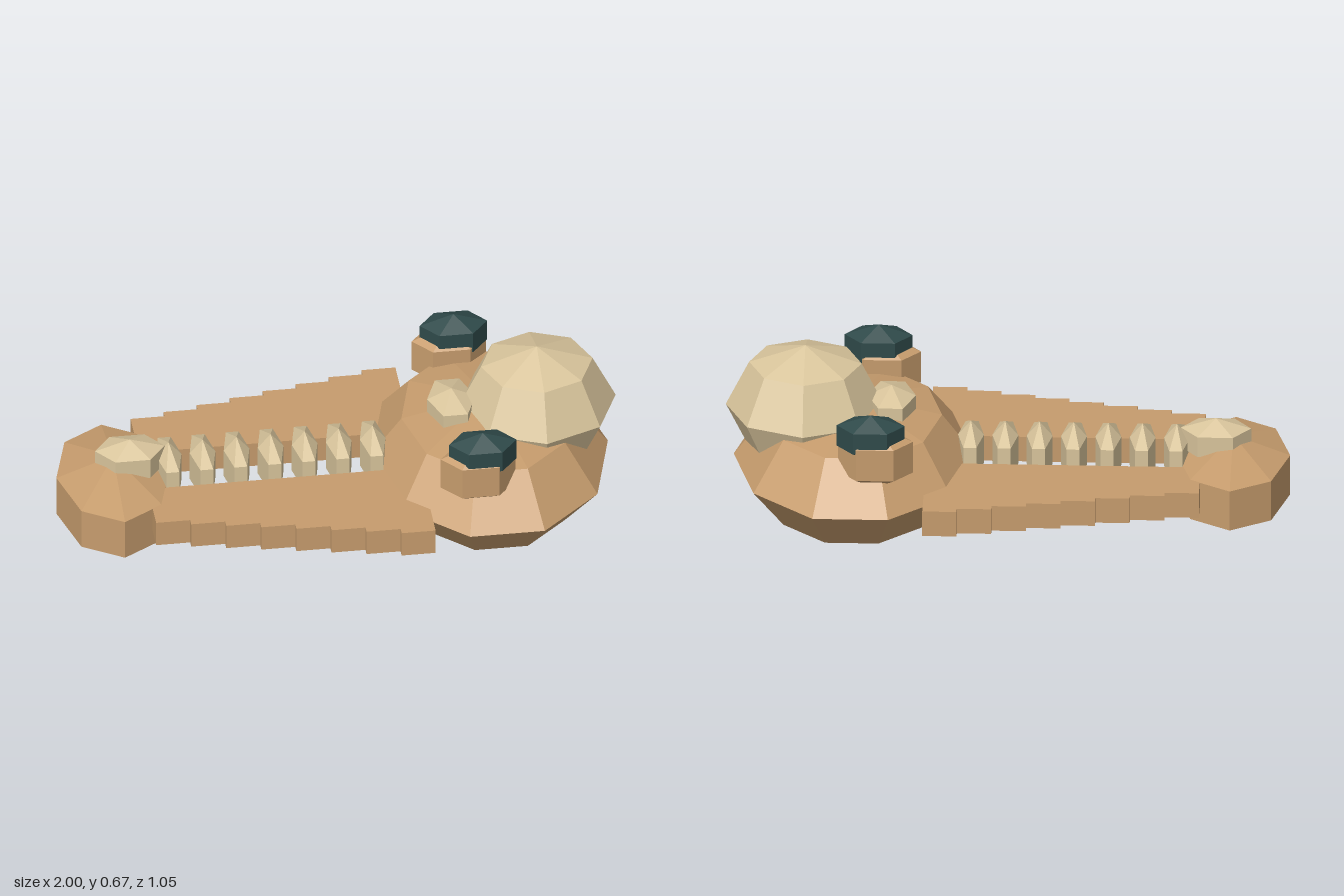
import * as THREE from 'three';

const brown = new THREE.MeshStandardMaterial({ color: 0xc69c6d });
brown.name = 'tan brown';
const cream = new THREE.MeshStandardMaterial({ color: 0xd9c59c });
cream.name = 'bone cream';
const dark = new THREE.MeshStandardMaterial({ color: 0x2f4a4a });
dark.name = 'dark slate';

export function createModel() {
  const model = new THREE.Group();
  model.name = 'crawlingCreature';

  // Faceted ellipsoid: centre, radii, sides around, bands from pole to pole
  function blob(name, material, [x, y, z], [rx, ry, rz], sides, bands) {
    const geometry = new THREE.SphereGeometry(1, sides, bands)
      .scale(rx, ry, rz).toNonIndexed();
    geometry.computeVertexNormals();
    const mesh = new THREE.Mesh(geometry, material);
    mesh.name = name;
    mesh.position.set(x, y, z);
    model.add(mesh);
  }

  // Head with a domed shell on top
  blob('head', brown, [0.537, 0.24, 0], [0.432, 0.235, 0.55], 10, 4);
  blob('headDome', cream, [0.715, 0.435, 0], [0.282, 0.235, 0.27], 8, 4);
  blob('headBump', cream, [0.41, 0.44, 0], [0.1, 0.08, 0.15], 6, 3);

  // Rounded end of the body and its bump
  blob('tail', brown, [-0.798, 0.193, 0], [0.234, 0.153, 0.352], 8, 3);
  blob('tailBump', cream, [-0.738, 0.333, 0], [0.144, 0.077, 0.107], 6, 3);

  // Row of spines down the open middle of the back
  const pitch = 0.1215;
  for (let i = 0; i < 7; i++) {
    blob('spine', cream, [-0.6 + i * pitch, 0.275, 0], [0.053, 0.11, 0.147], 6, 3);
  }

  for (const side of [1, -1]) {
    // Eye on a stubby socket
    blob('eyeSocket', brown, [0.453, 0.415, side * 0.369], [0.154, 0.12, 0.104], 6, 3);
    blob('eye', dark, [0.47, 0.497, side * 0.372], [0.139, 0.08, 0.097], 6, 3);

    // Flank that widens in steps toward the head
    for (let i = 0; i < 8; i++) {
      const inner = 0.113;
      const outer = 0.325 + i * 0.0264;
      const plate = new THREE.Mesh(
        new THREE.BoxGeometry(pitch, 0.096, outer - inner), brown);
      plate.name = 'flankPlate';
      plate.position.set(-0.629 + i * pitch, 0.222, side * (inner + outer) / 2);
      model.add(plate);
    }
  }
  return model;
}
